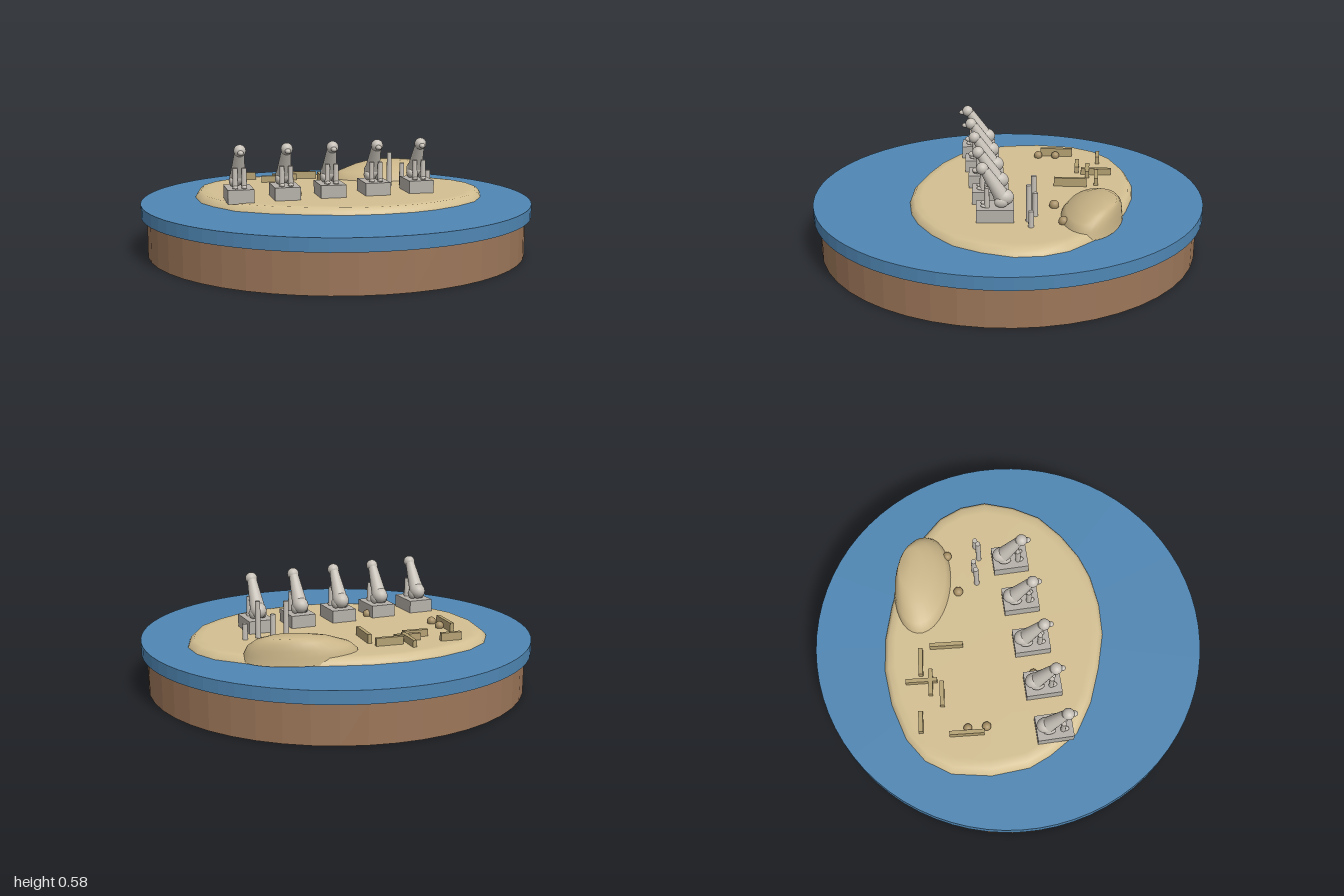
import * as THREE from 'three';

const mat = (name, color, extra = {}) => new THREE.MeshStandardMaterial({ name, color, ...extra });

export function createModel() {
  const model = new THREE.Group();
  model.name = 'islandDiorama';
  const earth = mat('earth', 0x9c7659, { flatShading: true });
  const water = mat('water', 0x4f86b3, { flatShading: true });
  const sand = mat('sand', 0xd3bf92);
  const moundSand = mat('moundSand', 0xcab588);
  const ruin = mat('ruinStone', 0xb5a274);
  const rock = mat('boulder', 0xa89167);
  const marble = mat('marble', 0xc6c0b7);
  const plinthStone = mat('plinthStone', 0xb6b1aa);

  const add = (parent, name, geo, material, x = 0, y = 0, z = 0) => {
    const m = new THREE.Mesh(geo, material);
    m.name = name;
    m.position.set(x, y, z);
    parent.add(m);
    return m;
  };

  // Lofts horizontal rings [scale, y, dx, dz] of an outline, closed by a fan on top
  const loft = (outline, rings, topY) => {
    const n = outline.length, pos = [], idx = [];
    for (const [s, y, dx = 0, dz = 0] of rings)
      for (const [x, z] of outline) pos.push(x * s + dx, y, z * s + dz);
    const [, , cx = 0, cz = 0] = rings[rings.length - 1];
    pos.push(cx, topY, cz);
    const top = rings.length * n;
    for (let r = 0; r < rings.length; r++)
      for (let i = 0; i < n; i++) {
        const j = (i + 1) % n, a = r * n + i, b = r * n + j;
        if (r < rings.length - 1) idx.push(a, a + n, b, b, a + n, b + n);
        else idx.push(a, top, b);
      }
    const g = new THREE.BufferGeometry();
    g.setAttribute('position', new THREE.Float32BufferAttribute(pos, 3));
    g.setIndex(idx);
    g.computeVertexNormals();
    return g;
  };

  // Round base and water disc
  add(model, 'earthBase', new THREE.CylinderGeometry(0.97, 0.97, 0.2, 48), earth, 0, 0.1, 0);
  add(model, 'waterDisc', new THREE.CylinderGeometry(1, 1, 0.065, 72), water, 0, 0.2325, 0);

  // Island: outline runs clockwise seen from above, about its own centre
  const shore = [
    [-0.29, -0.69], [-0.09, -0.69], [0.09, -0.655], [0.25, -0.59], [0.41, -0.49],
    [0.57, -0.37], [0.70, -0.21], [0.78, -0.06], [0.797, 0.07], [0.77, 0.2],
    [0.68, 0.33], [0.57, 0.435], [0.42, 0.5], [0.27, 0.535], [0.14, 0.54],
    [-0.02, 0.515], [-0.18, 0.46], [-0.34, 0.36], [-0.49, 0.245], [-0.61, 0.11],
    [-0.66, -0.06], [-0.675, -0.18], [-0.635, -0.37], [-0.545, -0.55], [-0.43, -0.645],
  ].map(([x, z]) => [x - 0.06, z + 0.075]);
  const islandRings = [[1, 0.262], [0.99, 0.278], [0.96, 0.298], [0.9, 0.3]];
  add(model, 'island', loft(shore, islandRings, 0.301), sand, 0.06, 0, -0.075);

  // Oval mound leaning to one side
  const oval = [];
  for (let i = 0; i < 32; i++) {
    const a = (i / 32) * Math.PI * 2, t = 0.49;
    const u = 0.28 * Math.cos(a), v = 0.15 * Math.sin(a);
    oval.push([u * Math.cos(t) - v * Math.sin(t), u * Math.sin(t) + v * Math.cos(t)]);
  }
  const moundRings = [[1, 0.268], [0.97, 0.305], [0.88, 0.338, 0.015, -0.005],
    [0.65, 0.372, 0.05, -0.015], [0.4, 0.393, 0.08, -0.03]];
  add(model, 'mound', loft(oval, moundRings, 0.396), moundSand, 0.445, 0, -0.295);

  // Seated statue on a plinth, facing local +z
  const turn = -0.27;
  const buildStatue = () => {
    const g = new THREE.Group();
    g.name = 'seatedStatue';
    add(g, 'plinth', new THREE.BoxGeometry(0.13, 0.07, 0.182), plinthStone, 0, 0.33, 0);
    add(g, 'haunch', new THREE.SphereGeometry(0.045, 20, 14), marble, 0, 0.408, -0.042)
      .scale.set(0.9, 0.92, 1.1);
    // Sloping torso tapering up into the neck
    const from = new THREE.Vector3(0, 0.41, -0.035), to = new THREE.Vector3(0, 0.545, 0.048);
    const dir = to.clone().sub(from);
    const torso = add(g, 'torso', new THREE.CylinderGeometry(0.024, 0.039, dir.length(), 20), marble);
    torso.position.copy(from).addScaledVector(dir, 0.5);
    torso.quaternion.setFromUnitVectors(new THREE.Vector3(0, 1, 0), dir.normalize());
    add(g, 'head', new THREE.SphereGeometry(0.03, 20, 14), marble, 0, 0.553, 0.06);
    add(g, 'muzzle', new THREE.SphereGeometry(0.015, 14, 10), marble, 0, 0.545, 0.09)
      .scale.set(1, 0.85, 1.2);
    for (const s of [-1, 1]) {
      add(g, 'frontLeg', new THREE.CylinderGeometry(0.012, 0.014, 0.1, 12), marble, s * 0.022, 0.415, 0.04);
      add(g, 'paw', new THREE.SphereGeometry(0.015, 12, 8), marble, s * 0.022, 0.372, 0.05)
        .scale.set(0.9, 0.6, 1.3);
      add(g, 'thigh', new THREE.SphereGeometry(0.026, 14, 10), marble, s * 0.026, 0.39, -0.03)
        .scale.set(0.7, 1, 1.3);
    }
    return g;
  };
  const row = new THREE.Group();
  row.name = 'statueRow';
  for (let i = 0; i < 5; i++) {
    const statue = buildStatue();
    statue.position.set(-0.55 + i * 0.2325, 0, 0.008 + i * 0.0425);
    statue.rotation.y = turn;
    row.add(statue);
  }
  model.add(row);

  // Broken columns: x, z, top height
  for (const [x, z, top] of [[0.34, -0.03, 0.48], [0.41, -0.015, 0.42], [0.465, 0.035, 0.485], [0.535, 0.045, 0.38]])
    add(model, 'column', new THREE.CylinderGeometry(0.013, 0.014, top - 0.29, 14), marble, x, (top + 0.29) / 2, z);

  // Ruined walls: x, z, length, top height, runs across (1) or along (0)
  for (const [x, z, len, top, across] of [
    [-0.25, -0.59, 0.107, 0.34, 1], [-0.155, -0.435, 0.13, 0.335, 1], [-0.075, -0.465, 0.135, 0.335, 1],
    [0.045, -0.47, 0.14, 0.34, 1], [-0.05, -0.505, 0.16, 0.335, 0], [0.075, -0.315, 0.17, 0.345, 0],
    [-0.395, -0.4, 0.175, 0.345, 0],
  ]) {
    const size = across ? [len, 0.022] : [0.02, len];
    const wall = add(model, 'ruinWall', new THREE.BoxGeometry(size[0], top - 0.29, size[1]), ruin, x, (top + 0.29) / 2, z);
    wall.rotation.y = across ? -0.37 : -0.35;
  }

  // Scattered boulders
  for (const [x, z, r] of [[-0.37, -0.385, 0.022], [-0.4, -0.295, 0.023], [0.33, -0.14, 0.025],
    [0.54, -0.115, 0.024], [-0.24, 0.035, 0.022]])
    add(model, 'boulder', new THREE.SphereGeometry(r, 14, 10), rock, x, 0.312, z);

  return model;
}
